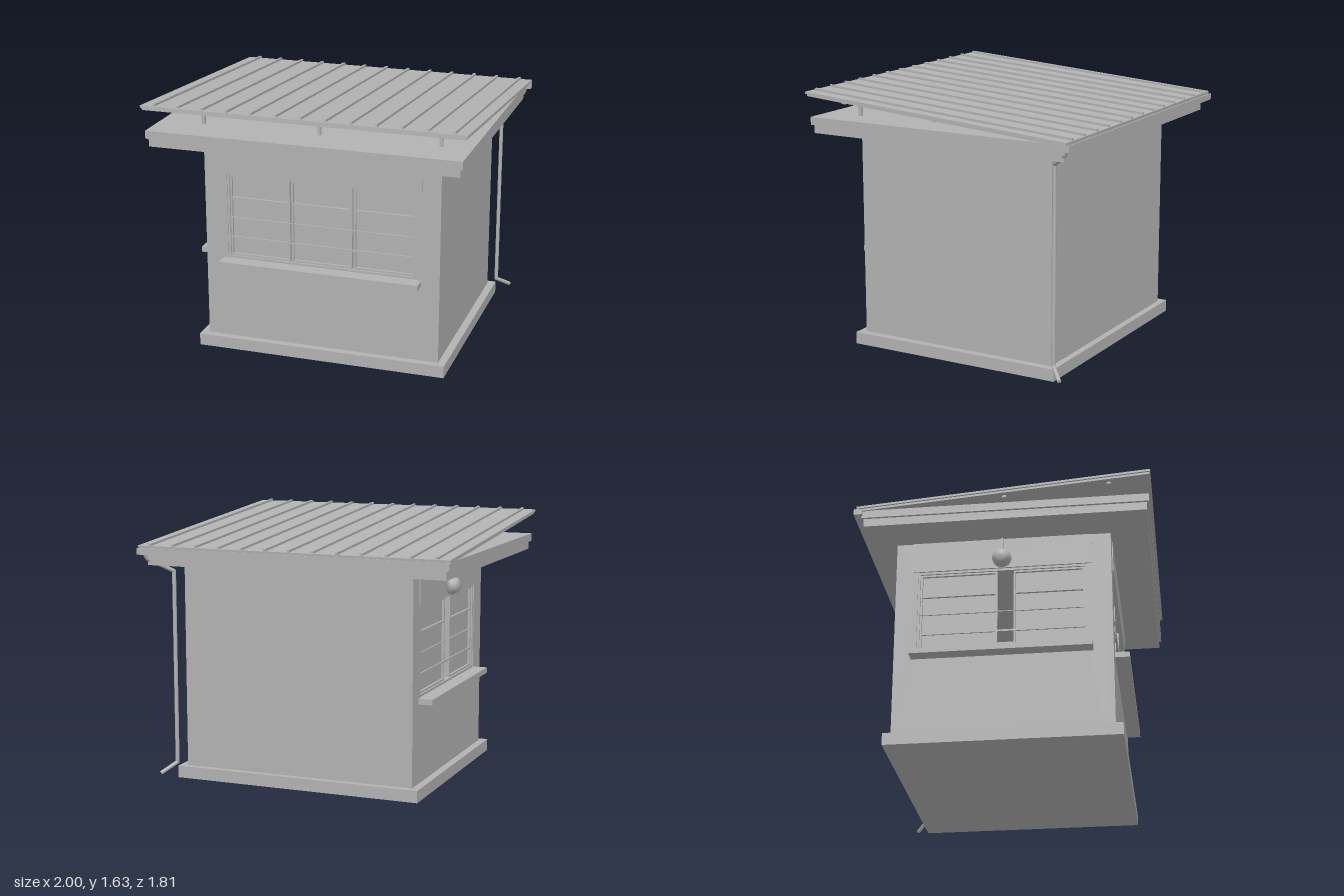
import * as THREE from 'three';

const grey = new THREE.MeshStandardMaterial({ color: 0xb2b2b2 });
grey.name = 'plain grey';

function add(parent, name, geometry) {
  const m = new THREE.Mesh(geometry, grey);
  m.name = name;
  parent.add(m);
  return m;
}

// Box given by its limits on each axis
function box(parent, name, x0, x1, y0, y1, z0, z1) {
  const m = add(parent, name, new THREE.BoxGeometry(x1 - x0, y1 - y0, z1 - z0));
  m.position.set((x0 + x1) / 2, (y0 + y1) / 2, (z0 + z1) / 2);
  return m;
}

function rectangle(Type, x0, x1, y0, y1) {
  const p = new Type();
  p.moveTo(x0, y0).lineTo(x1, y0).lineTo(x1, y1).lineTo(x0, y1).closePath();
  return p;
}

const T = 0.06, WALL0 = 0.075, WALL1 = 1.36, SILL = 0.6, HEAD = 1.155;

// Wall with a window; its outer face lies on local z = 0 and looks to +z
function windowWall(name, x0, x1, w0, w1, panels) {
  const g = new THREE.Group();
  g.name = name;
  const shape = rectangle(THREE.Shape, x0, x1, WALL0, WALL1);
  shape.holes.push(rectangle(THREE.Path, w0, w1, SILL, HEAD));
  const wall = add(g, 'wall', new THREE.ExtrudeGeometry(shape, { depth: T, bevelEnabled: false }));
  wall.position.z = -T;
  box(g, 'header', w0 - 0.03, w1 + 0.03, HEAD, WALL1, -0.01, 0.005);
  box(g, 'sill', w0 - 0.03, w1 + 0.03, 0.565, SILL, -T, 0.088);

  // Outer window frame
  const f = 0.015;
  box(g, 'frameLeft', w0, w0 + f, SILL, HEAD, -0.05, -0.005);
  box(g, 'frameRight', w1 - f, w1, SILL, HEAD, -0.05, -0.005);
  box(g, 'frameTop', w0, w1, HEAD - f, HEAD, -0.05, -0.005);
  box(g, 'frameBottom', w0, w1, SILL, SILL + f, -0.05, -0.005);

  // Framed panes
  for (const [a, b] of panels) {
    box(g, 'pane', a, b, SILL + f, HEAD - f, -0.036, -0.03);
    for (const x of [a, b - 0.012]) box(g, 'stile', x, x + 0.012, SILL + f, HEAD - f, -0.04, -0.015);
    for (const y of [SILL + f, 0.985, HEAD - f - 0.012]) {
      box(g, 'rail', a, b, y, y + 0.012, -0.04, -0.015);
    }
  }
  // Guard bars across the whole window
  for (const [y, h] of [[0.865, 0.005], [0.735, 0.012]]) {
    box(g, 'guardBar', w0 + f, w1 - f, y - h / 2, y + h / 2, -0.02, -0.011);
  }
  return g;
}

export function createModel() {
  const model = new THREE.Group();
  model.name = 'kiosk';

  box(model, 'base', -0.757, 0.837, 0, 0.075, -0.728, 0.687);

  // Walls
  const front = windowWall('frontWall', -0.709, 0.789, -0.565, 0.645,
    [[-0.55, -0.162], [-0.152, 0.236], [0.246, 0.63]]);
  front.position.z = 0.64;
  const side = windowWall('sideWindowWall', -0.687, 0.58, -0.55, 0.49,
    [[-0.535, -0.06], [0.04, 0.475]]);
  side.rotation.y = -Math.PI / 2;
  side.position.x = -0.709;
  model.add(front, side);
  box(model, 'blankSideWall', 0.729, 0.789, WALL0, WALL1, -0.687, 0.58);
  box(model, 'backWall', -0.65, 0.73, WALL0, WALL1, -0.687, -0.627);

  // Stepped eaves slab
  box(model, 'lowerEaves', -0.965, 0.955, 1.355, 1.407, -0.85, 0.875);
  box(model, 'upperEaves', -0.98, 0.972, 1.407, 1.457, -0.862, 0.89);

  // Sloping roof with ribs and purlins
  const roof = new THREE.Group();
  roof.name = 'roof';
  const slope = 0.077;
  roof.rotation.x = -Math.atan(slope);
  roof.position.y = 1.546;
  box(roof, 'roofSheet', -1, 1, -0.014, 0, -0.893, 0.906);
  box(roof, 'roofUnderlay', -0.99, 0.99, -0.028, -0.014, -0.885, 0.9);
  for (let i = -6; i <= 6; i++) {
    box(roof, 'rib', i * 0.153 - 0.008, i * 0.153 + 0.008, -0.002, 0.014, -0.888, 0.89);
  }
  for (const z of [0.65, 0.01, -0.64]) box(roof, 'purlin', -0.96, 0.96, -0.042, -0.026, z - 0.012, z + 0.012);
  model.add(roof);

  // Posts carrying the purlins
  for (const x of [-0.70, 0.04, 0.785]) {
    for (const z of [0.65, -0.64]) {
      box(model, 'roofPost', x - 0.01, x + 0.01, 1.45, 1.51 + slope * z, z - 0.01, z + 0.01);
    }
  }

  // Gutter along the low edge
  box(model, 'gutterBottom', -1, 1, 1.423, 1.431, -0.906, -0.855);
  box(model, 'gutterLip', -1, 1, 1.423, 1.463, -0.906, -0.898);
  box(model, 'gutterBack', -1, 1, 1.423, 1.45, -0.863, -0.855);
  for (const x of [-1, 0.992]) box(model, 'gutterEnd', x, x + 0.008, 1.423, 1.46, -0.906, -0.855);

  // Downpipe with kicked ends
  const points = [[0.965, 1.43, -0.875], [0.955, 1.395, -0.855], [0.84, 1.31, -0.73],
    [0.84, 0.1, -0.73], [0.915, 0.04, -0.81]].map(p => new THREE.Vector3(...p));
  const path = new THREE.CurvePath();
  for (let i = 0; i < points.length - 1; i++) path.add(new THREE.LineCurve3(points[i], points[i + 1]));
  for (const c of path.curves) {
    add(model, 'downpipe', new THREE.TubeGeometry(c, 1, 0.0125, 12));
  }
  for (const p of points.slice(1, 4)) {
    add(model, 'downpipeElbow', new THREE.SphereGeometry(0.0125, 12, 8)).position.copy(p);
  }
  const outlet = add(model, 'downpipeOutlet', new THREE.CircleGeometry(0.0125, 12));
  outlet.position.copy(points[4]);
  outlet.lookAt(points[4].clone().multiplyScalar(2).sub(points[3]));

  // Round lamp above the side window
  const profile = [[0, 0], [0.058, 0], [0.06, 0.03], [0.05, 0.036], [0.046, 0.055], [0.03, 0.068], [0, 0.072]];
  const lamp = add(model, 'lamp', new THREE.LatheGeometry(profile.map(p => new THREE.Vector2(...p)), 24));
  lamp.rotation.z = Math.PI / 2;
  lamp.position.set(-0.71, 1.215, -0.03);
  box(model, 'lampConduit', -0.724, -0.709, 1.215, 1.36, -0.038, -0.022);

  return model;
}
